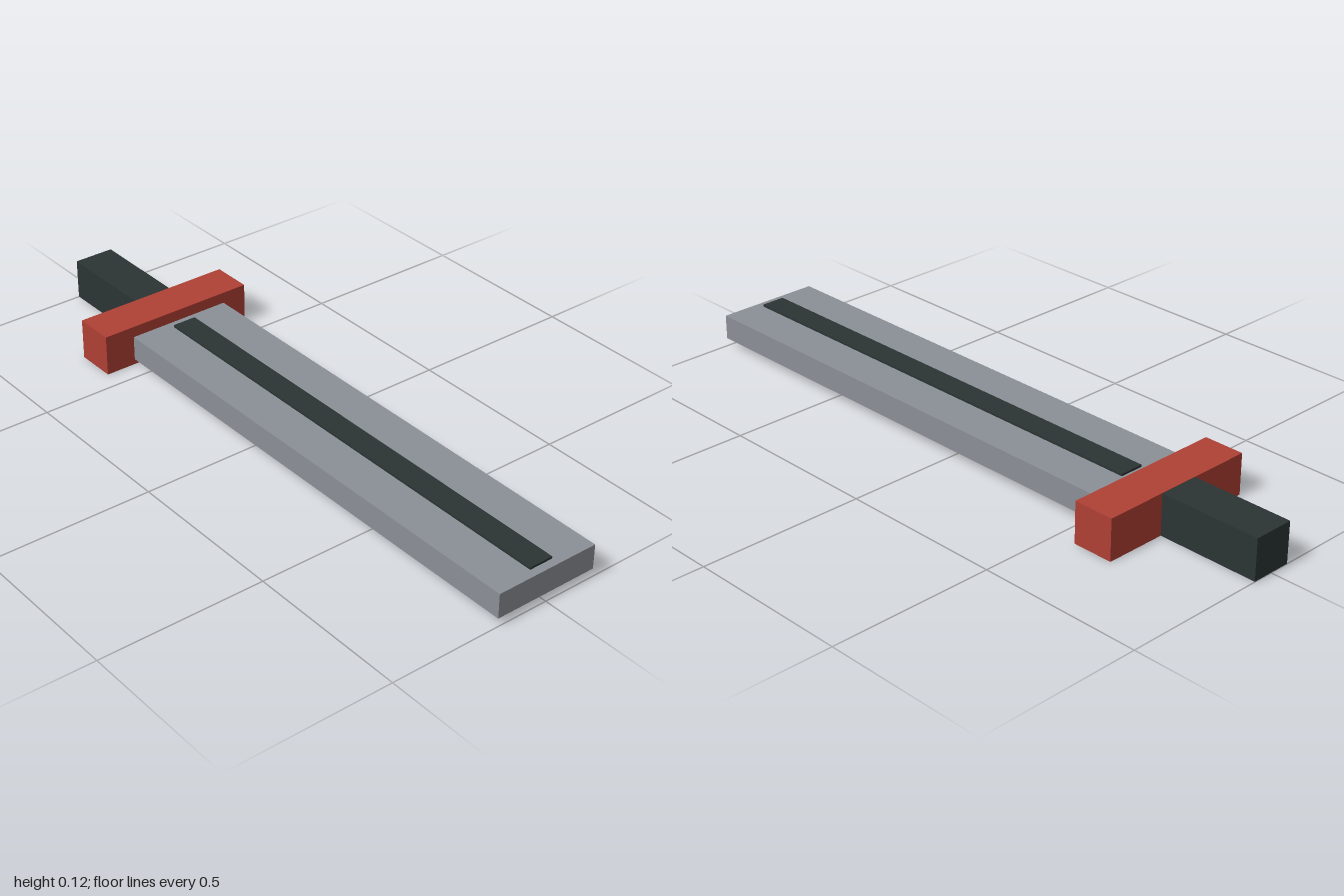
import * as THREE from 'three';

const material = (name, color) => {
  const m = new THREE.MeshStandardMaterial({ color });
  m.name = name;
  return m;
};

export function createModel() {
  const steel = material('steel grey', 0x8b9097);
  const red = material('guard red', 0xb04035);
  const dark = material('dark slate', 0x2c3434);

  const sword = new THREE.Group();
  sword.name = 'sword';

  // Box centred on x, given its width and its y and z ranges
  const addBox = (name, mat, width, [y0, y1], [z0, z1]) => {
    const mesh = new THREE.Mesh(new THREE.BoxGeometry(width, y1 - y0, z1 - z0), mat);
    mesh.position.set(0, (y0 + y1) / 2, (z0 + z1) / 2);
    mesh.name = name;
    sword.add(mesh);
  };

  // Flat blade with a dark strip standing proud on both faces
  addBox('blade', steel, 0.325, [0.025, 0.1], [-0.55, 1]);
  addBox('bladeStrip', dark, 0.075, [0.0185, 0.1065], [-0.525, 0.975]);

  // Crossguard, just clear of the blade
  addBox('crossguard', red, 0.5, [0, 0.125], [-0.6875, -0.5625]);

  // Grip set into the guard, a hair thinner so the faces do not coincide
  addBox('grip', dark, 0.125, [0.0005, 0.1245], [-1, -0.655]);

  return sword;
}
